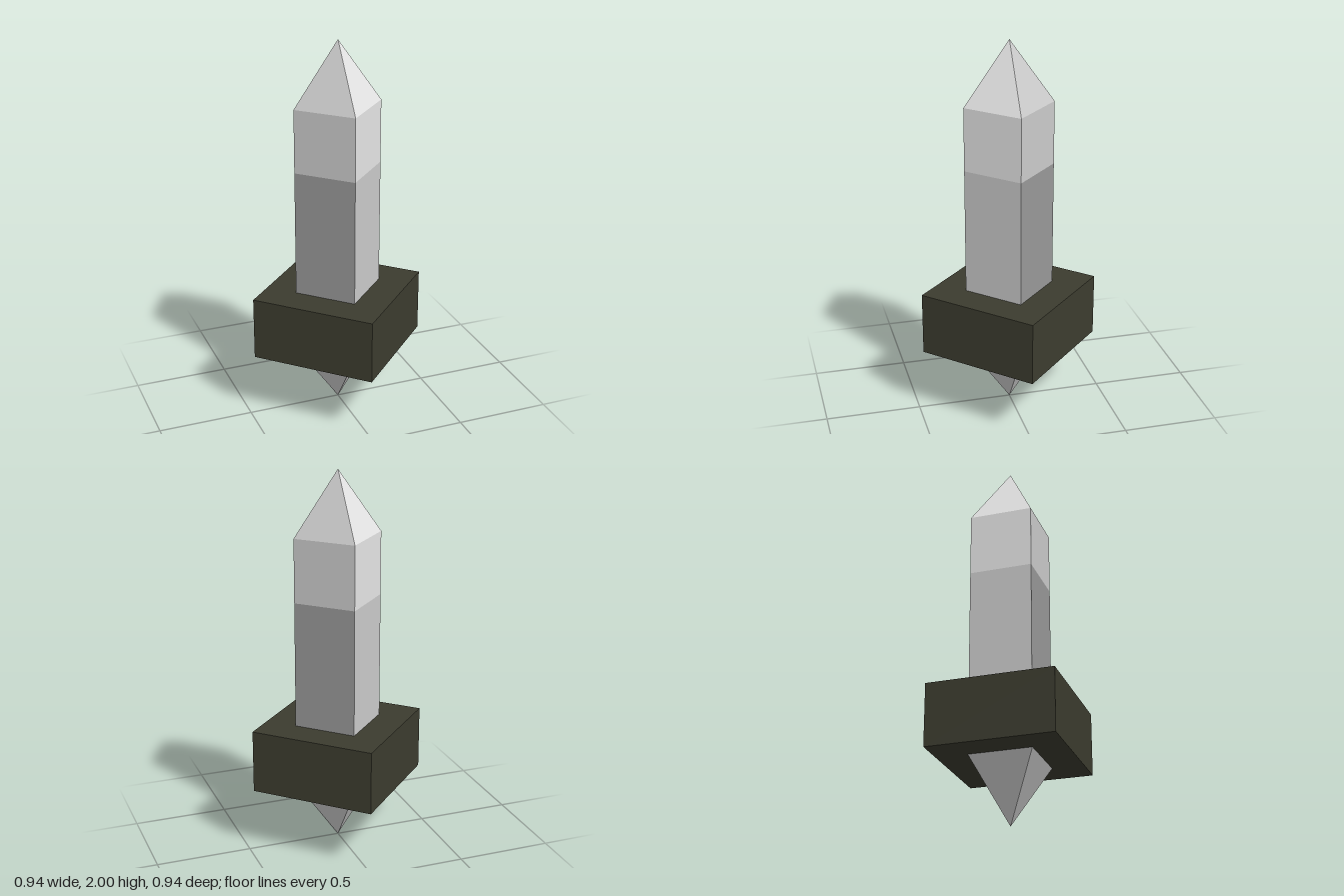
import * as THREE from 'three';

const THIRD = 1 / 3;
const RADIUS = 0.235;

function material(name, color) {
  const m = new THREE.MeshStandardMaterial({ color });
  m.name = name;
  return m;
}

// Four-sided section with corners on the x and z axes; facets alternate between the given materials
function section(name, y0, y1, r0, r1, materials, open = true) {
  const base = new THREE.CylinderGeometry(r1, r0, y1 - y0, 4, 1, open);
  if (open) {
    base.clearGroups();
    const step = base.index.count / 4;
    for (let i = 0; i < 4; i++) base.addGroup(i * step, step, i % materials.length);
  }
  const geometry = base.toNonIndexed();
  geometry.computeVertexNormals();
  const mesh = new THREE.Mesh(geometry, open ? materials : materials[0]);
  mesh.name = name;
  mesh.position.y = (y0 + y1) / 2;
  return mesh;
}

export function createModel() {
  const white = material('white', 0xffffff);
  const lightGrey = material('lightGrey', 0xcccccc);
  const midGrey = material('midGrey', 0x999999);
  const darkOlive = material('darkOlive', 0x3c3c2f);

  const model = new THREE.Group();
  model.name = 'crystalSpike';
  model.add(
    // Crystal, from the lower point to the upper point
    section('lowerPoint', 0, THIRD, 0, RADIUS, [lightGrey]),
    section('shaft', THIRD, 4 * THIRD, RADIUS, RADIUS, [lightGrey, midGrey]),
    section('upperBand', 4 * THIRD, 5 * THIRD, RADIUS, RADIUS, [white, lightGrey]),
    section('upperPoint', 5 * THIRD, 2, RADIUS, 0, [white, lightGrey]),
    // Solid square collar around the shaft
    section('collar', THIRD, 2 * THIRD, 2 * RADIUS, 2 * RADIUS, [darkOlive], false),
  );
  return model;
}
